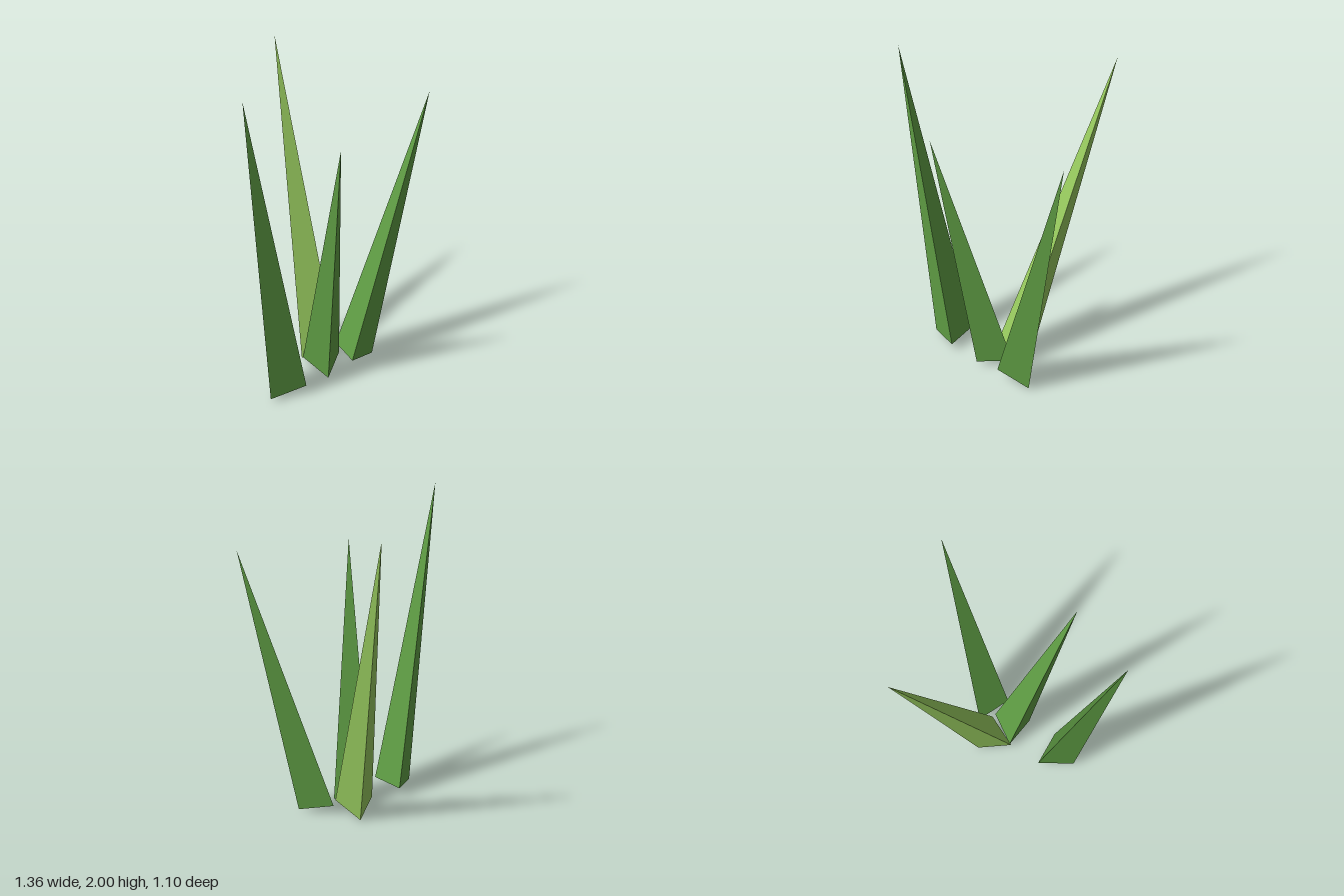
import * as THREE from 'three';

const green = new THREE.MeshStandardMaterial({ color: 0x5f9d44 });
green.name = 'leafGreen';
const lime = new THREE.MeshStandardMaterial({ color: 0x95c75d });
lime.name = 'limeGreen';

// Three-sided spike: a tip over a triangular base whose corners run so the base faces down
function blade(name, material, tip, base) {
  const positions = [...base.flat()];
  for (let i = 0; i < 3; i++) {
    positions.push(...base[(i + 1) % 3], ...base[i], ...tip);
  }
  const geometry = new THREE.BufferGeometry();
  geometry.setAttribute('position', new THREE.Float32BufferAttribute(positions, 3));
  geometry.computeVertexNormals(); // corners are unshared, so faces stay flat
  const mesh = new THREE.Mesh(geometry, material);
  mesh.name = name;
  return mesh;
}

export function createModel() {
  const grass = new THREE.Group();
  grass.name = 'grassTuft';
  grass.add(
    // tall blade leaning to the model's right
    blade('rightBlade', green, [-0.68, 2.0, 0.335],
      [[-0.315, 0.065, 0.135], [-0.267, 0.065, 0.365], [-0.49, 0.028, 0.3]]),
    // blade leaning to the model's left
    blade('leftBlade', green, [0.675, 1.735, 0.36],
      [[0.183, 0.07, 0.113], [0.342, 0.014, 0.283], [0.125, 0.07, 0.34]]),
    // short blade leaning forward
    blade('frontBlade', green, [-0.18, 1.655, 0.552],
      [[-0.085, 0.068, 0.112], [0.127, 0.068, 0.21], [-0.068, 0.022, 0.336]]),
    // lighter blade leaning back
    blade('backBlade', lime, [0.232, 1.938, -0.552],
      [[-0.096, 0.068, 0.113], [0.071, 0.005, -0.03], [0.131, 0.068, 0.184]]),
  );
  return grass;
}
